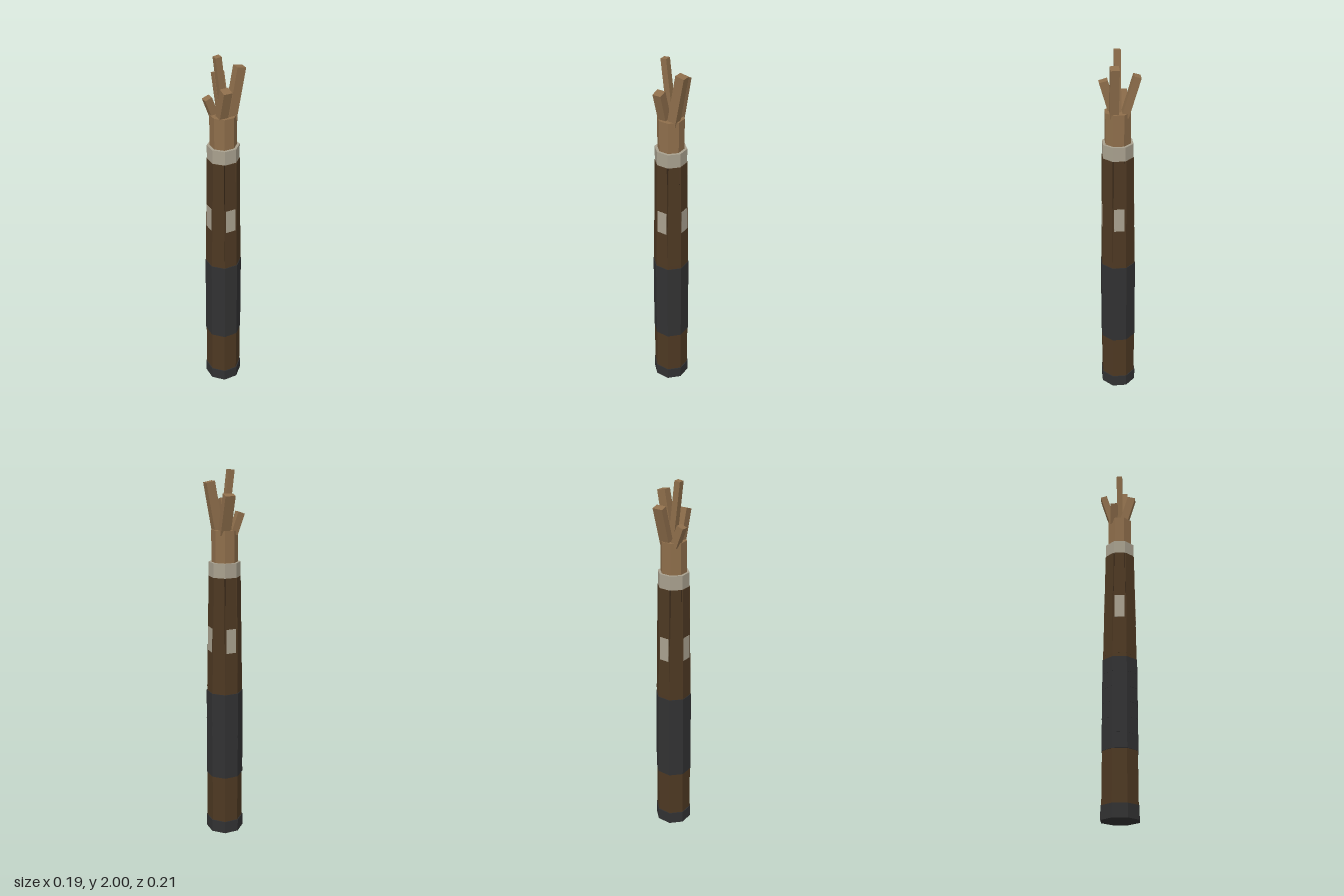
import * as THREE from 'three';

const mat = (name, color) => {
  const m = new THREE.MeshStandardMaterial({ color });
  m.name = name;
  return m;
};

export function createModel() {
  const group = new THREE.Group();
  const darkWood = mat('darkWood', 0x4d3822);
  const grooveWood = mat('grooveWood', 0x2a1d12);
  const lightWood = mat('lightWood', 0x8e6e4b);
  const bone = mat('bone', 0xa8a08e);
  const wrap = mat('wrap', 0x313132);

  // The shaft stands slightly off the middle of the bounding box
  const shaft = new THREE.Group();
  shaft.name = 'shaft';
  shaft.position.set(-0.005, 0, 0.008);
  group.add(shaft);

  const add = (name, geo, material, parent = shaft) => {
    const flat = geo.index ? geo.toNonIndexed() : geo;
    flat.computeVertexNormals();
    const mesh = new THREE.Mesh(flat, material);
    mesh.name = name;
    parent.add(mesh);
    return mesh;
  };

  // Octagonal section given by its flat-to-centre distances
  const octagon = (name, y0, y1, a0, a1, material) => {
    const c = Math.cos(Math.PI / 8);
    const geo = new THREE.CylinderGeometry(a1 / c, a0 / c, y1 - y0, 8, 1, false, Math.PI / 8);
    geo.translate(0, (y0 + y1) / 2, 0);
    return add(name, geo, material);
  };

  // Tapered slat lying on one side of the octagon
  const slat = (name, side, y0, y1, w0, w1, a0, a1, depth, material) => {
    const geo = new THREE.BoxGeometry(1, 1, 1);
    const p = geo.attributes.position;
    for (let i = 0; i < p.count; i++) {
      const t = p.getY(i) + 0.5;
      p.setXYZ(i,
        p.getX(i) * THREE.MathUtils.lerp(w0, w1, t),
        THREE.MathUtils.lerp(y0, y1, t),
        THREE.MathUtils.lerp(a0, a1, t) + (p.getZ(i) - 0.5) * depth);
    }
    geo.rotateY(side * Math.PI / 4);
    return add(name, geo, material);
  };

  // Foot cap and lower shaft
  octagon('footCap', 0, 0.07, 0.0945, 0.0945, wrap);
  octagon('lowerShaft', 0.07, 0.86, 0.0905, 0.0875, darkWood);

  // Overlapping grip wraps
  const bands = 6, y0 = 0.34, step = 0.49 / bands;
  for (let i = 0; i < bands; i++) {
    const a = 0.0922 - i * 0.0002;
    octagon('gripWrap', y0 + i * step, y0 + (i + 1) * step, a, a - 0.0008, wrap);
  }

  // Upper shaft: slats that narrow upwards over a dark core
  octagon('core', 0.84, 1.47, 0.084, 0.07, grooveWood);
  for (let i = 0; i < 8; i++) {
    slat('upperSlat', i, 0.85, 1.46, 0.0725, 0.055, 0.0878, 0.079, 0.016, darkWood);
  }

  // Pale inlays on the four main sides
  for (let i = 0; i < 8; i += 2) {
    slat('inlay', i, 1.06, 1.19, 0.054, 0.054, 0.0862, 0.0844, 0.006, bone);
  }

  // Collar and inner bundle
  octagon('collar', 1.46, 1.535, 0.0765, 0.0765, bone);
  octagon('innerBundle', 1.53, 1.70, 0.0635, 0.0635, lightWood);

  // Splayed sticks: base centre, tip centre, width in x, depth in z
  const sticks = [
    ['backStick', [0.0125, 1.68, -0.025], [0.0125, 1.882, -0.086], 0.055, 0.036],
    ['leftStick', [0.023, 1.68, 0.029], [0.071, 1.94, 0.029], 0.047, 0.044],
    ['frontStick', [-0.026, 1.68, 0.028], [-0.026, 1.85, 0.077], 0.045, 0.044],
    ['rightStick', [-0.037, 1.68, -0.024], [-0.077, 1.787, -0.024], 0.038, 0.038],
    ['middleStick', [0.002, 1.68, 0.007], [-0.037, 1.998, 0.007], 0.032, 0.032],
  ];
  for (const [name, base, tip, w, d] of sticks) {
    const from = new THREE.Vector3(...base), to = new THREE.Vector3(...tip);
    const dir = to.clone().sub(from);
    const stick = add(name, new THREE.BoxGeometry(w, dir.length(), d), lightWood, group);
    stick.position.copy(from).add(to).multiplyScalar(0.5);
    stick.quaternion.setFromUnitVectors(new THREE.Vector3(0, 1, 0), dir.normalize());
  }

  return group;
}
